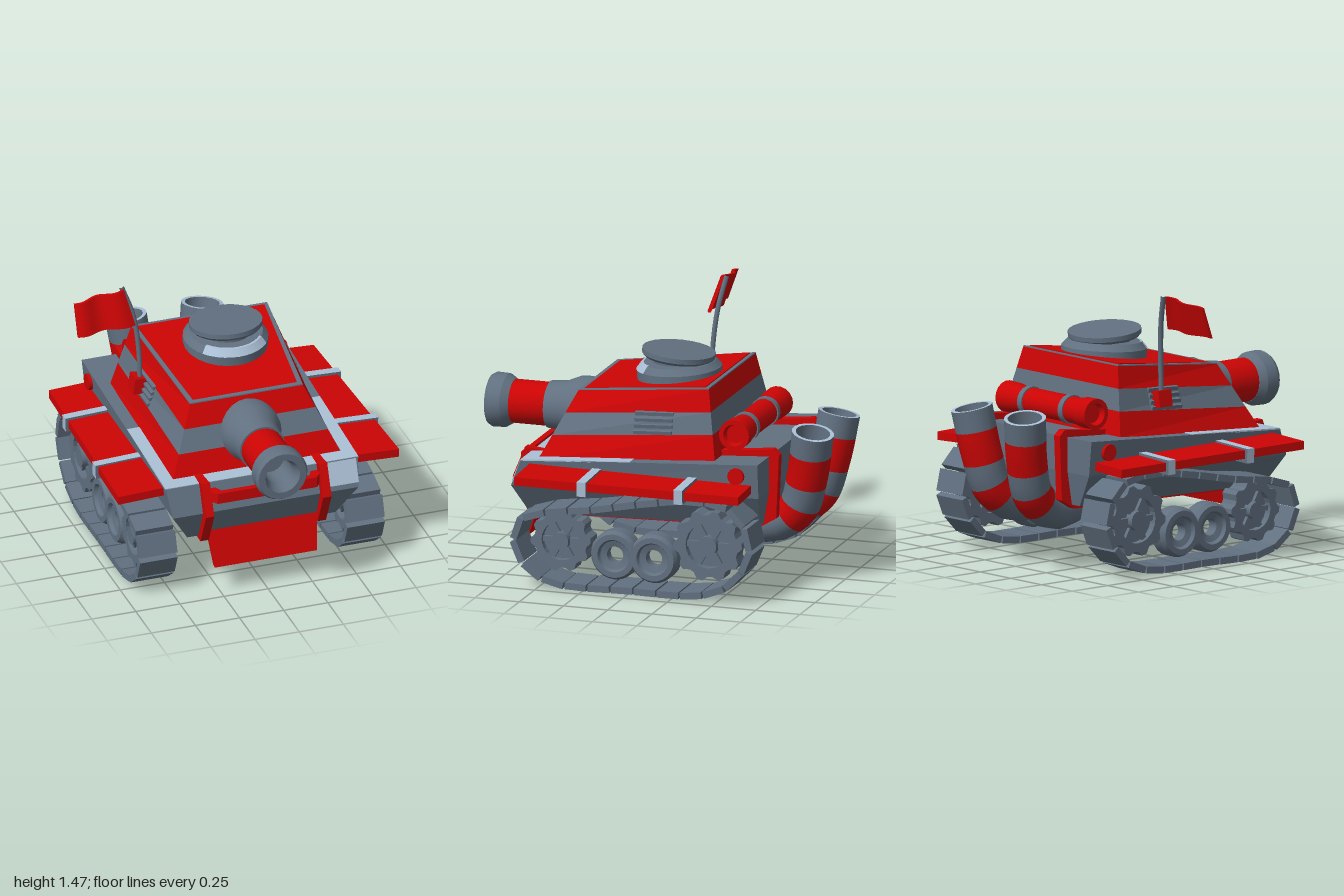
import * as THREE from 'three';
import { toCreasedNormals } from 'three/addons/utils/BufferGeometryUtils.js';

const mat = (name, color) => {
  const m = new THREE.MeshStandardMaterial({ color });
  m.name = name;
  return m;
};

export function createModel() {
  const red = mat('red paint', 0xcc0404);
  const grey = mat('steel grey', 0x617080);
  const light = mat('light steel', 0xabc0d6);
  const model = new THREE.Group();

  const add = (name, geo, material, pos = [0, 0, 0], rot = [0, 0, 0], parent = model) => {
    const m = new THREE.Mesh(geo, material);
    m.name = name;
    m.position.set(...pos);
    m.rotation.set(...rot);
    parent.add(m);
    return m;
  };
  const box = (x, y, z) => new THREE.BoxGeometry(x, y, z);

  // Skin between rings of points; rings run counter-clockwise seen from the far end
  const loft = (rings, smooth = false, caps = true) => {
    const p = [], n = rings[0].length;
    const tri = (...v) => v.forEach((q) => p.push(...q));
    for (let i = 0; i < rings.length - 1; i++) for (let j = 0; j < n; j++) {
      const k = (j + 1) % n, a = rings[i], b = rings[i + 1];
      tri(a[j], a[k], b[k]);
      tri(a[j], b[k], b[j]);
    }
    const first = rings[0], last = rings[rings.length - 1];
    if (caps) for (let j = 1; j < n - 1; j++) {
      tri(first[0], first[j + 1], first[j]);
      tri(last[0], last[j], last[j + 1]);
    }
    const g = new THREE.BufferGeometry();
    g.setAttribute('position', new THREE.Float32BufferAttribute(p, 3));
    g.computeVertexNormals();
    return smooth ? toCreasedNormals(g, 0.7) : g;
  };
  // Four-cornered level ring: half widths, z limits and heights at front and rear
  const quad = ([wf, wr, zf, zr, yf, yr]) => [[wf, yf, zf], [wr, yr, zr], [-wr, yr, zr], [-wf, yf, zf]];
  const lathe = (pts, seg = 24, start = 0, length = Math.PI * 2) => toCreasedNormals(
    new THREE.LatheGeometry(pts.map(([r, y]) => new THREE.Vector2(r, y)), seg, start, length), 0.45);

  // Hull
  add('hull', loft([[0.42, 0.42, 0.64, -0.66, 0.33, 0.37], [0.525, 0.53, 0.71, -0.69, 0.5, 0.55],
    [0.545, 0.55, 0.65, -0.69, 0.65, 0.74]].map(quad)), grey);
  const tilt = 0.067, deckY = (z) => 0.65 + (0.65 - z) * 0.0672;
  for (const s of [-1, 1])
    add('deckSidePlate', box(0.07, 0.008, 0.62), light, [s * 0.511, deckY(0.34), 0.34], [tilt, 0, 0]);
  add('deckFrontPlate', box(1.08, 0.008, 0.08), light, [0, deckY(0.61), 0.61], [tilt, 0, 0]);
  add('cornerPlate', box(0.17, 0.13, 0.008), light, [0.445, 0.586, 0.677], [-0.38, 0, 0]);

  // Red bands wrapped round the hull
  const bandShape = new THREE.Shape([[0.60, 0.66], [0.69, 0.67], [0.76, 0.5], [0.67, 0.31], [-0.64, 0.345],
    [-0.73, 0.4], [-0.745, 0.75], [-0.71, 0.78], [-0.58, 0.765]].map(([z, y]) => new THREE.Vector2(-z, y)));
  for (const s of [-1, 1])
    add('hullBand', new THREE.ExtrudeGeometry(bandShape, { depth: 0.047, bevelEnabled: false }),
      red, [s * 0.332 - 0.0235, 0, 0], [0, Math.PI / 2, 0]);

  // Front bar bent back at both ends, and mud flap
  const barShape = new THREE.Shape([[-0.31, 0.64], [-0.31, 0.7], [-0.28, 0.738], [0.28, 0.738], [0.31, 0.7], [0.31, 0.64],
    [0.28, 0.64], [0.25, 0.705], [-0.25, 0.705], [-0.28, 0.64]].map(([x, z]) => new THREE.Vector2(x, -z)));
  add('frontBar', new THREE.ExtrudeGeometry(barShape, { depth: 0.06, bevelEnabled: false }), red, [0, 0.56, 0], [-Math.PI / 2, 0, 0]);
  add('mudFlap', loft([[0.29, 0.29, 0.715, 0.69, 0.16, 0.165], [0.31, 0.31, 0.65, 0.62, 0.36, 0.36]].map(quad)), red);

  // Turret in three stripes, then the framed roof
  const low = [0.48, 0.48, 0.575, -0.425, 0.64, 0.725], high = [0.32, 0.385, 0.4, -0.36, 1.0, 1.09];
  const level = (t) => quad(low.map((v, i) => v + (high[i] - v) * t));
  [[0, 0.36, red], [0.36, 0.68, grey], [0.68, 1, red]].forEach(([a, b, m]) =>
    add('turretStripe', loft([level(a), level(b)]), m));
  const roofPlate = (inset, y) => quad([0.32 - inset, 0.385 - inset, 0.4 - inset, -0.36 + inset, 1 + y, 1.09 + y]);
  add('roofTrim', loft([roofPlate(0, 0), roofPlate(0.001, 0.006)]), grey);
  add('roofPanel', loft([roofPlate(0.025, 0.003), roofPlate(0.025, 0.009)]), red);

  // Hatch with a raised, tilted lid
  const hatchPos = [0.05, 1.08, -0.08], hatchRot = [0.06, 0, 0];
  add('hatchBase', lathe([[0, -0.06], [0.23, -0.06], [0.23, 0.025], [0.2, 0.06], [0, 0.06]]), grey, hatchPos, hatchRot);
  add('hatchEdge', lathe([[0.232, 0.026], [0.202, 0.062], [0.19, 0.063]], 10, -0.9, 1.8), light, hatchPos, hatchRot);
  add('hatchNeck', new THREE.CylinderGeometry(0.14, 0.14, 0.06, 24), grey, [0.05, 1.15, -0.08]);
  add('hatchLid', lathe([[0, -0.02], [0.185, -0.02], [0.198, -0.006], [0.198, 0.02], [0, 0.02]]),
    grey, [0.05, 1.178, -0.075], [-0.09, 0, 0.02]);

  // Side louvres, nearly flush with the sloping walls
  for (const s of [-1, 1]) for (let i = 0; i < 4; i++) {
    const y = 0.84 + i * 0.032;
    add('louvre', box(0.04, 0.02, 0.22), grey, [s * (0.424 - (y - 0.84) * 0.333), y, -0.06], [tilt, s * -0.045, s * -0.2]);
  }

  // Cannon, pointing forward
  const cannon = new THREE.Group();
  cannon.name = 'cannon';
  cannon.position.set(-0.005, 0.815, 0);
  cannon.rotation.x = Math.PI / 2;
  model.add(cannon);
  const gun = (name, pts, m) => add(name, lathe(pts), m, [0, 0, 0], [0, 0, 0], cannon);
  gun('mantlet', [[0, 0.3], [0.16, 0.3], [0.17, 0.46], [0.165, 0.51], [0.135, 0.58], [0.128, 0.67], [0.11, 0.67]], grey);
  gun('barrel', [[0.118, 0.66], [0.118, 0.88]], red);
  gun('muzzle', [[0.11, 0.87], [0.12, 0.87], [0.145, 0.91], [0.147, 0.98], [0.135, 1.0], [0.098, 1.0],
    [0.076, 0.95], [0.076, 0.8], [0, 0.8]], grey);

  // Fenders with straps (light on top and at the outer end) and side knobs
  for (const s of [-1, 1]) {
    const plate = (y) => {
      const r = [[0.5, y + 0.012, 0.6], [0.795, y, 0.6], [0.75, y - 0.012, -0.65], [0.5, y, -0.65]]
        .map(([x, h, z]) => [s * x, h, z]);
      return s > 0 ? r : r.reverse();
    };
    add('fender', loft([plate(0.578), plate(0.624)]), red);
    for (const z of [0.22, -0.32])
      add('fenderStrap', box(0.27, 0.08, 0.05), [light, light, light, grey, grey, grey],
        [s * (z > 0 ? 0.665 : 0.645), 0.595, z], [0, 0, s * -0.04]);
    add('sideKnob', new THREE.CylinderGeometry(0.045, 0.045, 0.05, 14), red, [s * 0.54, 0.67, -0.57], [0, 0, Math.PI / 2]);
  }

  // Tracks: separate plates along a closed path
  const path = new THREE.CatmullRomCurve3([[0.42, 0.03], [0.56, 0.1], [0.63, 0.22], [0.6, 0.35], [0.48, 0.405],
    [0.2, 0.45], [-0.1, 0.51], [-0.35, 0.545], [-0.55, 0.52], [-0.655, 0.42], [-0.68, 0.27], [-0.58, 0.11],
    [-0.42, 0.035], [0, 0.02]].map(([z, y]) => new THREE.Vector3(0, y, z)), true);
  const plates = 24, step = path.getLength() / plates;
  // Toothed wheel outline with an open centre
  const sprocket = (r) => {
    const shape = new THREE.Shape(), teeth = 10;
    for (let i = 0; i < teeth * 4; i++) {
      const a = i / (teeth * 4) * Math.PI * 2, q = i % 4 < 2 ? r : r * 0.87;
      shape[i ? 'lineTo' : 'moveTo'](Math.cos(a) * q, Math.sin(a) * q);
    }
    shape.closePath();
    shape.holes.push(new THREE.Path().absarc(0, 0, r * 0.63, 0, Math.PI * 2, true));
    return new THREE.ExtrudeGeometry(shape, { depth: 0.11, bevelEnabled: false, curveSegments: 12 }).translate(0, 0, -0.055);
  };
  for (const s of [-1, 1]) {
    const track = new THREE.Group();
    track.name = s > 0 ? 'leftTrack' : 'rightTrack';
    track.position.x = s * 0.587;
    model.add(track);
    for (let i = 0; i < plates; i++) {
      const p = path.getPointAt(i / plates), t = path.getTangentAt(i / plates);
      add('trackPlate', box(0.212, 0.037, step - 0.01), grey, [0, p.y, p.z], [Math.atan2(-t.y, t.z), 0, 0], track);
    }
    for (const [z, y, r] of [[0.39, 0.25, 0.17], [-0.44, 0.295, 0.195]]) {
      const wheel = new THREE.Group();
      wheel.name = 'driveWheel';
      wheel.position.set(0, y, z);
      wheel.rotation.y = Math.PI / 2;
      track.add(wheel);
      add('toothedRing', sprocket(r), grey, [0, 0, 0], [0, 0, 0], wheel);
      add('wheelDisc', new THREE.CylinderGeometry(r * 0.66, r * 0.66, 0.03, 20), grey, [0, 0, 0], [Math.PI / 2, 0, 0], wheel);
      add('hub', new THREE.CylinderGeometry(r * 0.28, r * 0.28, 0.13, 14), grey, [0, 0, 0], [Math.PI / 2, 0, 0], wheel);
      for (let i = 0; i < 3; i++) add('spoke', box(r * 1.3, r * 0.17, 0.07), grey, [0, 0, 0], [0, 0, i * Math.PI / 3], wheel);
    }
    for (const z of [0.09, -0.13])
      add('roadWheel', lathe([[0.046, -0.03], [0.08, -0.04], [0.09, -0.06], [0.12, -0.06], [0.135, -0.035], [0.135, 0.035],
        [0.12, 0.06], [0.09, 0.06], [0.08, 0.04], [0.046, 0.03], [0.046, -0.03]]), grey, [0, 0.193, z], [0, 0, Math.PI / 2], track);
  }

  // Curved exhausts running out from under the hull and leaning outward
  for (const s of [-1, 1]) {
    const bend = new THREE.CatmullRomCurve3([[0.14, 0.36, -0.2], [0.145, 0.315, -0.46], [0.15, 0.315, -0.64],
      [0.165, 0.41, -0.78], [0.185, 0.6, -0.843], [0.217, 0.85, -0.885]]
      .map(([x, y, z]) => new THREE.Vector3(s * x - 0.015, y, z)));
    const pipeRing = (t, scale = 1) => {
      const c = bend.getPointAt(t), d = bend.getTangentAt(t);
      const u = new THREE.Vector3(1, 0, 0).addScaledVector(d, -d.x).normalize(), v = d.clone().cross(u);
      const r = scale * (0.102 * Math.min(1, 0.35 + t * 1.7) + 0.012 * t);
      return Array.from({ length: 18 }, (_, i) => {
        const a = i / 18 * Math.PI * 2;
        return c.clone().addScaledVector(u, r * Math.cos(a)).addScaledVector(v, r * Math.sin(a)).toArray();
      });
    };
    [[0, 0.52, grey], [0.52, 0.61, red], [0.61, 0.72, grey], [0.72, 0.885, red], [0.885, 1, grey]].forEach(([a, b, m]) =>
      add('exhaustPipe', loft(Array.from({ length: 8 }, (_, i) => pipeRing(a + (b - a) * i / 7)), true, false), m));
    add('exhaustRim', loft([pipeRing(1), pipeRing(1, 0.82)], false, false), light);
    add('exhaustBore', loft([pipeRing(1, 0.82), pipeRing(0.92, 0.76), pipeRing(0.92, 0.01)], true, false), grey);
  }

  // Rolled bundle behind the turret
  add('rearRoll', lathe([[0, -0.33], [0.05, -0.33], [0.06, -0.362], [0.085, -0.362], [0.083, -0.28], [0.073, -0.23],
    [0.073, 0.23], [0.083, 0.28], [0.085, 0.362], [0.06, 0.362], [0.05, 0.33], [0, 0.33]], 18),
  red, [0, 0.84, -0.493], [0, 0, Math.PI / 2]);
  for (const x of [-0.155, 0.175]) {
    add('rollStrap', new THREE.CylinderGeometry(0.08, 0.08, 0.035, 18), grey, [x, 0.84, -0.493], [0, 0, Math.PI / 2]);
    add('rollBracket', box(0.035, 0.08, 0.08), grey, [x, 0.8, -0.44]);
  }

  // Waving flag on a bent pole
  add('flagBase', box(0.07, 0.09, 0.09), red, [-0.44, 0.89, -0.1], [0, 0, -0.15]);
  const pole = new THREE.CatmullRomCurve3([[-0.43, 0.85, -0.09], [-0.435, 1.1, -0.1], [-0.46, 1.3, -0.12], [-0.515, 1.465, -0.15]]
    .map((p) => new THREE.Vector3(...p)));
  add('flagPole', new THREE.TubeGeometry(pole, 16, 0.014, 8), grey);
  const cloth = new THREE.BoxGeometry(1, 1, 0.016, 16, 2, 1);
  const cp = cloth.attributes.position;
  for (let i = 0; i < cp.count; i++) {
    const u = 0.5 - cp.getX(i), v = cp.getY(i) + 0.5;
    const x0 = -0.465 - 0.045 * v, y = 1.268 + 0.19 * v - 0.02 * u * v - 0.008 * u;
    cp.setXYZ(i, x0 + (-0.795 - x0) * u, y, cp.getZ(i) - 0.07 - 0.06 * v + 0.016 * Math.sin(u * 9) + 0.01 * u);
  }
  add('flag', toCreasedNormals(cloth, 0.7), red);

  return model;
}
